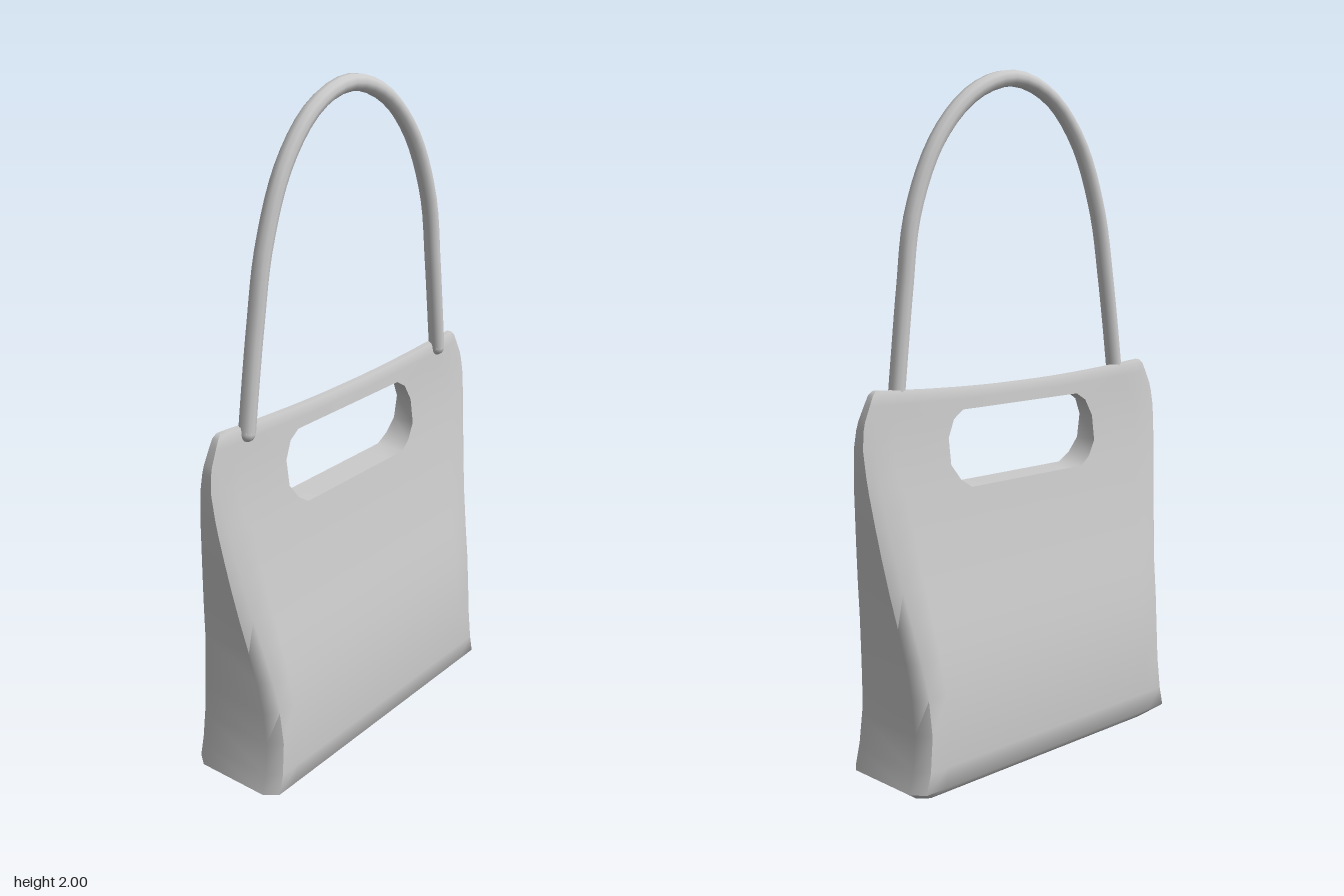
import * as THREE from 'three';
import { toCreasedNormals } from 'three/addons/utils/BufferGeometryUtils.js';

// Body cross-sections: height, half length, half depth, half width of hand slot
const ROWS = [
  [0.0, 0.47, 0.105, 0.225],
  [0.04, 0.527, 0.155, 0.225],
  [0.1, 0.512, 0.156, 0.225],
  [0.2, 0.502, 0.153, 0.225],
  [0.3, 0.506, 0.144, 0.225],
  [0.4, 0.516, 0.13, 0.225],
  [0.5, 0.53, 0.11, 0.225],
  [0.6, 0.546, 0.09, 0.225],
  [0.7, 0.56, 0.071, 0.225],
  [0.78, 0.57, 0.057, 0.225],
  [0.84, 0.577, 0.047, 0.225],
  [0.865, 0.58, 0.043, 0.262],
  [0.91, 0.584, 0.036, 0.293],
  [0.985, 0.588, 0.026, 0.293],
  [1.035, 0.582, 0.021, 0.268],
  [1.058, 0.576, 0.019, 0.232],
  [1.1, 0.557, 0.016, 0.232],
  [1.125, 0.545, 0.014, 0.232],
  [1.137, 0.532, 0.009, 0.232],
];
const SLOT = { bottom: 10, top: 15, left: 4, right: 10 };

// One row of columns: bevelled ends, panels and slot edges
function columns([, len, , slot]) {
  const half = [slot / 3, slot * 2 / 3, slot, (slot * 2 + len) / 3, (slot + len * 2) / 3, len - 0.03, len];
  return [...half.slice().reverse().map((u) => -u), ...half];
}

function bodyGeometry() {
  const grid = ROWS.map(columns);
  const nCols = grid[0].length - 1;
  const nRows = ROWS.length - 1;
  const slotRight = nCols - SLOT.left;
  const solid = (i, j) => i >= 0 && j >= 0 && i < nRows && j < nCols &&
    !(i >= SLOT.bottom && i < SLOT.top && j >= SLOT.left && j < slotRight);

  const point = ([i, j], side) => {
    const [y, len, depth] = ROWS[i];
    const u = grid[i][j];
    const end = j === 0 || j === nCols;
    // the top rim sags a little towards the middle
    const sag = 0.022 * (1 - (u / len) ** 2) * THREE.MathUtils.smoothstep(y, 1.05, 1.13);
    return [u, y - sag, side * depth * (end ? 0.75 : 1)];
  };

  const pos = [];
  const quad = (a, b, c, d) => pos.push(...a, ...b, ...c, ...a, ...c, ...d);
  for (let i = 0; i < nRows; i++) {
    for (let j = 0; j < nCols; j++) {
      if (!solid(i, j)) continue;
      const c = [[i, j], [i, j + 1], [i + 1, j + 1], [i + 1, j]];
      const f = c.map((p) => point(p, 1));
      const b = c.map((p) => point(p, -1));
      quad(...f);
      quad(b[3], b[2], b[1], b[0]);
      // close every open edge between the front and back panel
      [[i - 1, j], [i, j + 1], [i + 1, j], [i, j - 1]].forEach(([ni, nj], k) => {
        const n = (k + 1) % 4;
        if (!solid(ni, nj)) quad(f[n], f[k], b[k], b[n]);
      });
    }
  }
  const geo = new THREE.BufferGeometry();
  geo.setAttribute('position', new THREE.Float32BufferAttribute(pos, 3));
  return toCreasedNormals(geo, 0.9);
}

export function createModel() {
  const group = new THREE.Group();
  const material = new THREE.MeshStandardMaterial({ color: 0xcccccc });
  const bag = new THREE.Group();
  bag.name = 'handbag';
  bag.rotation.y = 0.583;
  group.add(bag);

  const add = (name, geometry) => {
    const mesh = new THREE.Mesh(geometry, material);
    mesh.name = name;
    bag.add(mesh);
    return mesh;
  };

  add('bagBody', bodyGeometry());

  // Arched strap, leaning very slightly to one side
  const path = [
    [-0.436, 1.11], [-0.416, 1.25], [-0.392, 1.4], [-0.352, 1.6], [-0.268, 1.8], [-0.145, 1.93],
    [0, 1.976],
    [0.155, 1.93], [0.29, 1.8], [0.381, 1.6], [0.412, 1.4], [0.43, 1.25], [0.446, 1.11],
  ].map(([u, y]) => new THREE.Vector3(u, y, 0.013));
  const radius = 0.024;
  add('strap', new THREE.TubeGeometry(new THREE.CatmullRomCurve3(path), 48, radius, 10));

  // Rounded strap ends sunk into the rim
  for (const p of [path[0], path[path.length - 1]]) {
    add('strapEnd', new THREE.SphereGeometry(radius, 10, 8)).position.copy(p);
  }
  return group;
}
